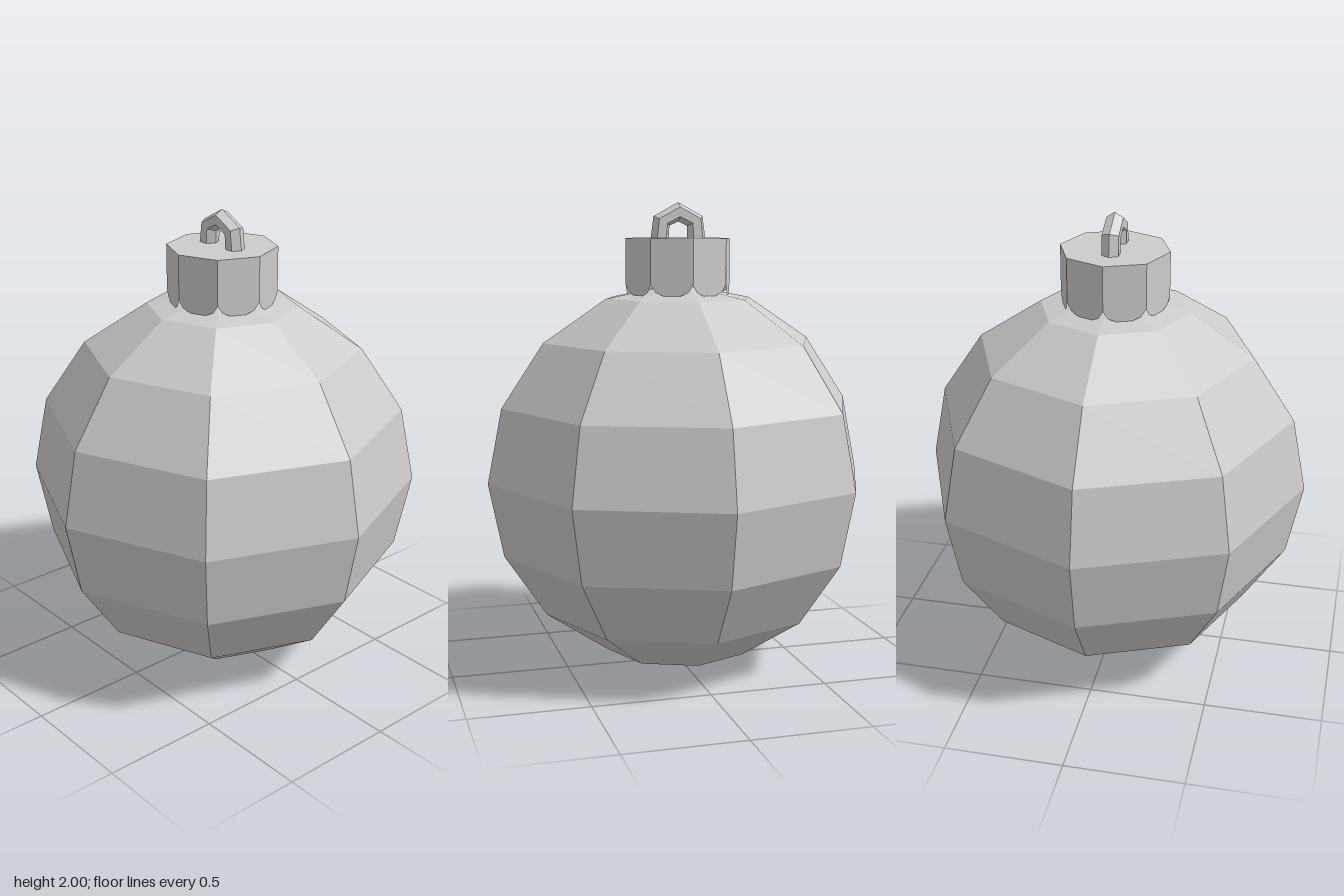
import * as THREE from 'three';

const grey = (side = THREE.FrontSide) =>
  new THREE.MeshStandardMaterial({ color: 0xcccccc, flatShading: true, side });

function addMesh(parent, name, geometry, material) {
  const mesh = new THREE.Mesh(geometry, material);
  mesh.name = name;
  parent.add(mesh);
  return mesh;
}

// Octagonal metal cap: a flat lid and eight sides with scalloped lower edges
function createCap() {
  const cap = new THREE.Group();
  cap.name = 'cap';
  const radius = 0.23, top = 1.85, notch = 1.66, dip = 1.613;
  const apothem = radius * Math.cos(Math.PI / 8);
  const half = radius * Math.sin(Math.PI / 8);
  const material = grey(THREE.DoubleSide);

  const lid = addMesh(cap, 'capLid', new THREE.CircleGeometry(radius, 8), material);
  lid.rotation.x = -Math.PI / 2;
  lid.position.y = top;

  const side = new THREE.Shape([
    [half, top], [-half, top], [-half, notch], [-half * 0.78, notch - 0.03],
    [-half * 0.35, dip], [half * 0.35, dip], [half * 0.78, notch - 0.03], [half, notch],
  ].map(([x, y]) => new THREE.Vector2(x, y)));
  const panel = new THREE.ShapeGeometry(side).translate(0, 0, apothem);
  for (let i = 0; i < 8; i++) {
    addMesh(cap, 'capSide', panel, material).rotation.y = (i + 0.5) * Math.PI / 4;
  }
  return cap;
}

// Pointed hanging loop: a six-sided tube bent over five stations
function createLoopGeometry() {
  // centre x, centre y, outward offset x, outward offset y
  const stations = [
    [-0.081, 1.84, -1, 0.08], [-0.073, 1.922, -0.87, 0.5], [0, 1.96, 0, 1],
    [0.073, 1.922, 0.87, 0.5], [0.081, 1.84, 1, 0.08],
  ];
  const geometry = new THREE.CylinderGeometry(0.04, 0.04, 4, 6, 4, true, Math.PI / 2);
  const p = geometry.attributes.position;
  for (let i = 0; i < p.count; i++) {
    const [cx, cy, nx, ny] = stations[Math.round(2 - p.getY(i))];
    const out = p.getX(i);
    p.setXYZ(i, cx + nx * out, cy + ny * out, p.getZ(i));
  }
  geometry.computeVertexNormals();
  return geometry;
}

export function createModel() {
  const model = new THREE.Group();
  model.name = 'bauble';

  // Faceted ball
  const ball = addMesh(model, 'ball', new THREE.SphereGeometry(0.83, 8, 8), grey());
  ball.position.y = 0.83;

  model.add(createCap());
  addMesh(model, 'hangingLoop', createLoopGeometry(), grey());
  return model;
}
